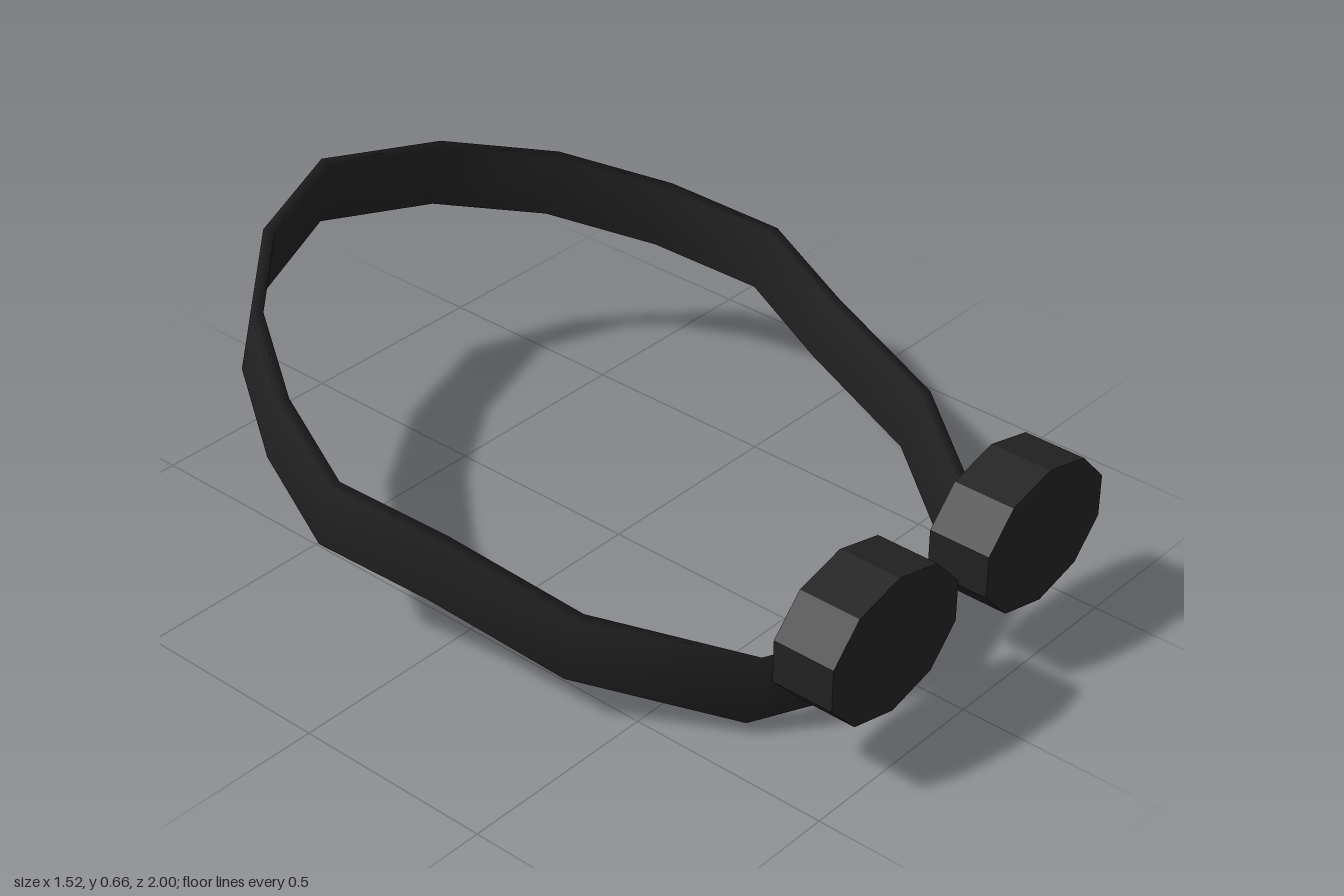
import * as THREE from 'three';

const TILT = Math.atan(0.263);

// Closed ribbon with a rectangular section that follows a plan outline of [x, z] points
function bandGeometry(outline, height, thickness) {
  const n = outline.length, h = height / 2;
  const pos = [], index = [];
  outline.forEach(([x, z], i) => {
    const a = outline[(i + n - 1) % n], b = outline[(i + 1) % n];
    const t = new THREE.Vector2(b[0] - a[0], b[1] - a[1]).normalize();
    const ix = x - t.y * thickness, iz = z + t.x * thickness;
    pos.push(x, h, z, x, -h, z, ix, -h, iz, ix, h, iz);
    const j = (i + 1) % n;
    for (let k = 0; k < 4; k++) {
      const m = (k + 1) % 4;
      index.push(i * 4 + k, j * 4 + m, i * 4 + m, i * 4 + k, j * 4 + k, j * 4 + m);
    }
  });
  const g = new THREE.BufferGeometry();
  g.setAttribute('position', new THREE.Float32BufferAttribute(pos, 3));
  g.setIndex(index);
  g.computeVertexNormals();
  return g;
}

export function createModel() {
  const model = new THREE.Group();
  model.name = 'goggles';
  const black = new THREE.MeshStandardMaterial({ color: 0x222222 });
  black.name = 'black';
  const blackFaceted = black.clone();
  blackFaceted.flatShading = true;

  // Head strap: half outline from back to front, mirrored, then tilted down at the front
  const half = [[0, -0.977], [0.295, -0.867], [0.515, -0.677], [0.665, -0.437], [0.758, -0.178],
    [0.682, 0.08], [0.61, 0.41], [0.385, 0.73], [0, 0.867]];
  const mirrored = half.slice(1, -1).reverse().map(([x, z]) => [-x, z]);
  const outline = [...half, ...mirrored].map(([x, z]) => [x, z / Math.cos(TILT)]);
  const strap = new THREE.Mesh(bandGeometry(outline, 0.176, 0.029), black);
  strap.name = 'headStrap';
  strap.rotation.x = TILT;
  strap.position.y = 0.318;
  model.add(strap);

  // Two ten-sided oval eyepieces
  const disc = new THREE.CylinderGeometry(1, 1, 0.155, 10).rotateX(Math.PI / 2).scale(0.221, 0.17, 1);
  for (const [name, side] of [['leftEyepiece', 1], ['rightEyepiece', -1]]) {
    const eye = new THREE.Mesh(disc, blackFaceted);
    eye.name = name;
    eye.position.set(side * 0.264, 0.326, 0.9225);
    model.add(eye);
  }
  return model;
}
